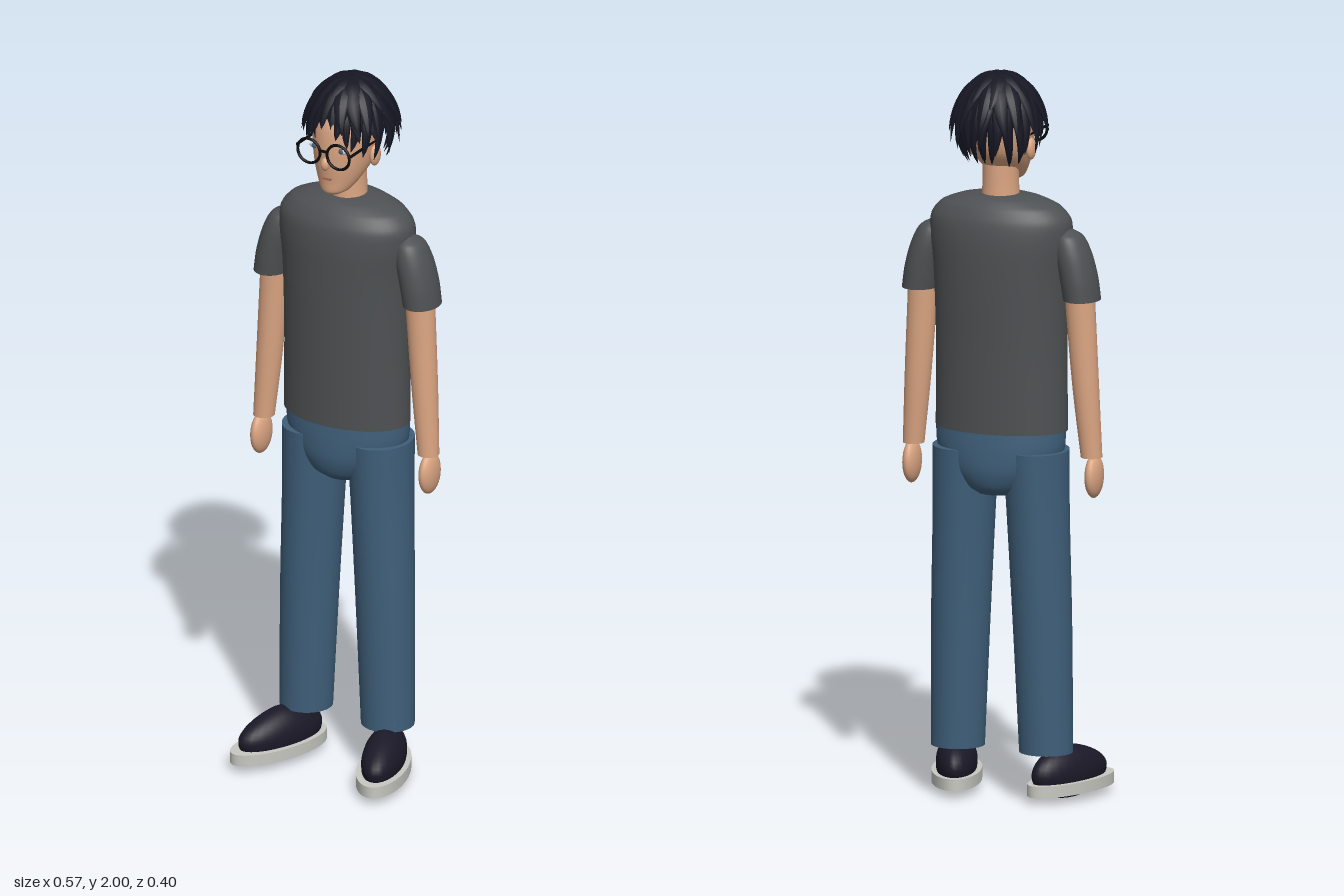
import * as THREE from 'three';

const mat = (name, color, extra = {}) => {
  const m = new THREE.MeshStandardMaterial({ color, ...extra });
  m.name = name;
  return m;
};

// Smooth capped loft through elliptical sections [y, centreX, centreZ, halfWidth, halfDepth], listed upward
function loft(sections, steps = 24, n = 32) {
  const mid = new THREE.CatmullRomCurve3(sections.map(([y, x, z]) => new THREE.Vector3(x, y, z)));
  const pos = [], idx = [];
  const sizes = new THREE.CatmullRomCurve3(sections.map(s => new THREE.Vector3(s[3], s[0], s[4])));
  const ring = t => {
    const c = mid.getPoint(t), r = sizes.getPoint(t), start = pos.length / 3;
    for (let j = 0; j < n; j++) {
      const a = j / n * Math.PI * 2;
      pos.push(c.x + r.x * Math.cos(a), c.y, c.z + r.z * Math.sin(a));
    }
    return start;
  };
  for (let i = 0; i <= steps; i++) ring(i / steps);
  for (let i = 0; i < steps; i++) for (let j = 0; j < n; j++) {
    const a = i * n + j, b = i * n + (j + 1) % n;
    idx.push(a, a + n, b, b, a + n, b + n);
  }
  for (const t of [0, 1]) {
    const start = ring(t), c = mid.getPoint(t), centre = pos.length / 3;
    pos.push(c.x, c.y, c.z);
    for (let j = 0; j < n; j++) {
      const a = start + j, b = start + (j + 1) % n;
      idx.push(centre, t ? b : a, t ? a : b);
    }
  }
  const g = new THREE.BufferGeometry();
  g.setAttribute('position', new THREE.Float32BufferAttribute(pos, 3));
  g.setIndex(idx);
  g.computeVertexNormals();
  return g;
}

// Tapered lock of hair that follows the skull from polar angle t0 to t1 at azimuth a
function hairLock(a, t0, t1, width, lift, flare, sweep) {
  const g = new THREE.CylinderGeometry(1, 1, 1, 8, 10);
  const p = g.attributes.position, v = new THREE.Vector3();
  for (let i = 0; i < p.count; i++) {
    v.fromBufferAttribute(p, i);
    const t = v.y + 0.5, th = t0 + (t1 - t0) * t, az = a + sweep * t * t;
    const dir = new THREE.Vector3(Math.sin(az) * Math.sin(th), Math.cos(th), Math.cos(az) * Math.sin(th));
    const side = new THREE.Vector3(-Math.cos(az), 0, Math.sin(az));
    const fat = width * Math.sqrt(Math.min(1, 0.25 + t * 2)) * Math.pow(1 - t, 0.65) + 0.0005;
    const r = lift + flare * t * t * t;
    const c = new THREE.Vector3(dir.x * 0.113 * r, dir.y * 0.128 * r, dir.z * 0.125 * r);
    c.addScaledVector(side, v.x * fat).addScaledVector(dir, v.z * fat * 0.4);
    p.setXYZ(i, c.x, c.y, c.z);
  }
  g.computeVertexNormals();
  return g;
}

export function createModel() {
  const model = new THREE.Group();
  model.name = 'standingMan';
  const skin = mat('skin', 0xdba582), shirt = mat('shirt grey', 0x4e5153), denim = mat('denim blue', 0x3f5f7a);
  const hair = mat('hair black', 0x171724), shoe = mat('shoe navy', 0x1b1928), rubber = mat('sole white', 0xc8c8c2);
  const black = mat('frame black', 0x0b0b0d), white = mat('eye white', 0xd8dcde), iris = mat('iris blue', 0x4c6378);
  const lip = mat('lip', 0xa86a58);

  const add = (name, geo, material, parent = model) => {
    const m = new THREE.Mesh(geo, material);
    m.name = name;
    parent.add(m);
    return m;
  };
  const ball = (name, material, [x, y, z], [sx, sy, sz], parent = model) => {
    const m = add(name, new THREE.SphereGeometry(1, 24, 16), material, parent);
    m.position.set(x, y, z);
    m.scale.set(sx, sy, sz);
    return m;
  };
  const box = (name, material, [x, y, z], size) => {
    const m = add(name, new THREE.BoxGeometry(...size), material);
    m.position.set(x, y, z);
    return m;
  };

  // Body
  add('shirtBody', loft([
    [1.02, 0, -0.037, 0.186, 0.118], [1.25, 0, -0.038, 0.184, 0.123], [1.45, 0, -0.04, 0.19, 0.128],
    [1.55, 0, -0.04, 0.2, 0.127], [1.6, 0, -0.04, 0.197, 0.119], [1.635, 0, -0.042, 0.168, 0.1],
    [1.656, 0, -0.044, 0.115, 0.077], [1.665, 0, -0.045, 0.06, 0.055]], 42, 48), shirt);
  add('pelvis', loft([
    [0.845, 0, -0.043, 0.065, 0.07], [0.865, 0, -0.043, 0.105, 0.095], [0.91, 0, -0.043, 0.15, 0.11],
    [0.965, 0, -0.043, 0.178, 0.111], [1.03, 0, -0.043, 0.184, 0.106]], 24, 48), denim);
  add('neck', loft([[1.63, 0, -0.045, 0.053, 0.054], [1.69, 0, -0.045, 0.049, 0.052], [1.76, 0, -0.045, 0.049, 0.052]]), skin);

  // Head and face
  add('head', loft([
    [1.69, 0, 0.03, 0.02, 0.025], [1.7, 0, 0.02, 0.038, 0.045], [1.73, 0, -0.002, 0.058, 0.07],
    [1.78, 0, -0.03, 0.077, 0.105], [1.84, 0, -0.04, 0.086, 0.117], [1.9, 0, -0.045, 0.086, 0.113],
    [1.95, 0, -0.05, 0.064, 0.085], [1.975, 0, -0.05, 0.025, 0.035]], 40), skin);
  ball('nose', skin, [0, 1.787, 0.077], [0.012, 0.019, 0.013]);
  box('mouth', lip, [0, 1.742, 0.07], [0.028, 0.005, 0.008]);
  for (const s of [1, -1]) {
    ball('ear', skin, [s * 0.086, 1.79, -0.04], [0.012, 0.03, 0.022]);
    ball('eyeWhite', white, [s * 0.042, 1.828, 0.061], [0.017, 0.009, 0.006]);
    ball('eyeIris', iris, [s * 0.042, 1.828, 0.064], [0.008, 0.008, 0.005]);
    // Glasses: round rim and temple bar
    const rim = add('glassesRim', new THREE.TorusGeometry(0.035, 0.004, 8, 32), black);
    rim.position.set(s * 0.046, 1.82, 0.086);
    box('glassesTemple', black, [s * 0.084, 1.83, 0.022], [0.005, 0.006, 0.13]);
  }
  box('glassesBridge', black, [0, 1.828, 0.087], [0.026, 0.006, 0.006]);

  // Hair: skull cap with overlapping rows of locks, longer toward the back
  const hairGroup = new THREE.Group();
  hairGroup.name = 'hair';
  hairGroup.position.set(0, 1.862, -0.058);
  model.add(hairGroup);
  const cap = add('hairCap', new THREE.SphereGeometry(1, 32, 20, 0, Math.PI * 2, 0, 1.4), hair, hairGroup);
  cap.scale.set(0.107, 0.125, 0.118);
  cap.rotation.x = -0.22;
  let seed = 7;
  const rand = () => (seed = (seed * 16807) % 2147483647) / 2147483647;
  const rows = [ // count, start angle, end angle, extra length at back, width, lift, flare
    [9, 0.05, 1.0, 0.1, 0.036, 1.01, 0.06],
    [15, 0.3, 1.38, 0.3, 0.034, 1.0, 0.12],
    [19, 0.65, 1.52, 0.5, 0.027, 0.99, 0.14],
    [21, 0.85, 1.66, 0.72, 0.024, 0.96, 0.1]];
  rows.forEach(([count, t0, t1, back, width, lift, flare], row) => {
    for (let i = 0; i < count; i++) {
      const a = (i + 0.5 * (row % 2) + 0.3 * (rand() - 0.5)) / count * Math.PI * 2;
      const rear = (1 - Math.cos(a)) / 2, sideways = Math.abs(Math.sin(a));
      const end = t1 + back * rear + 0.12 * sideways + 0.16 * (rand() - 0.5);
      const spread = flare * (0.35 + 0.9 * sideways + 0.5 * rear);
      add('hairLock', hairLock(a, t0, end, width, lift, spread, 0.4 * (rand() - 0.5)), hair, hairGroup);
    }
  });

  // Limbs and shoes, mirrored
  for (const s of [1, -1]) {
    const side = s > 0 ? 'left' : 'right';
    add(side + 'Sleeve', loft([
      [1.388, s * 0.234, -0.04, 0.049, 0.062], [1.45, s * 0.224, -0.04, 0.05, 0.063],
      [1.52, s * 0.207, -0.04, 0.047, 0.058], [1.56, s * 0.197, -0.04, 0.035, 0.045],
      [1.578, s * 0.19, -0.04, 0.012, 0.018]]), shirt);
    add(side + 'Arm', loft([
      [0.955, s * 0.258, -0.032, 0.029, 0.03], [1.15, s * 0.243, -0.037, 0.036, 0.036],
      [1.43, s * 0.225, -0.04, 0.042, 0.038]]), skin);
    ball(side + 'Hand', skin, [s * 0.264, 0.903, -0.028], [0.022, 0.06, 0.046]);
    add(side + 'TrouserLeg', loft([
      [0.137, s * 0.128, -0.036, 0.073, 0.071], [0.5, s * 0.118, -0.039, 0.08, 0.081],
      [0.8, s * 0.107, -0.042, 0.084, 0.092], [0.967, s * 0.102, -0.043, 0.088, 0.101]]), denim);

    const foot = new THREE.Group();
    foot.name = side + 'Shoe';
    foot.position.set(s * 0.165, 0, 0.047);
    foot.rotation.y = s * 0.33;
    model.add(foot);
    const sole = add('sole', new THREE.CylinderGeometry(1, 1, 0.032, 40), rubber, foot);
    sole.position.y = 0.037;
    sole.scale.set(0.068, 1, 0.16);
    // Upper slopes down toward the toe
    const g = new THREE.SphereGeometry(1, 28, 20), p = g.attributes.position;
    for (let i = 0; i < p.count; i++) {
      const y = p.getY(i), z = p.getZ(i);
      p.setY(i, y * (y > 0 ? 1 - 0.25 * Math.max(z, 0) : 1));
    }
    g.computeVertexNormals();
    const upper = add('shoeUpper', g, shoe, foot);
    upper.position.set(0, 0.073, -0.006);
    upper.scale.set(0.056, 0.073, 0.14);
  }
  return model;
}
